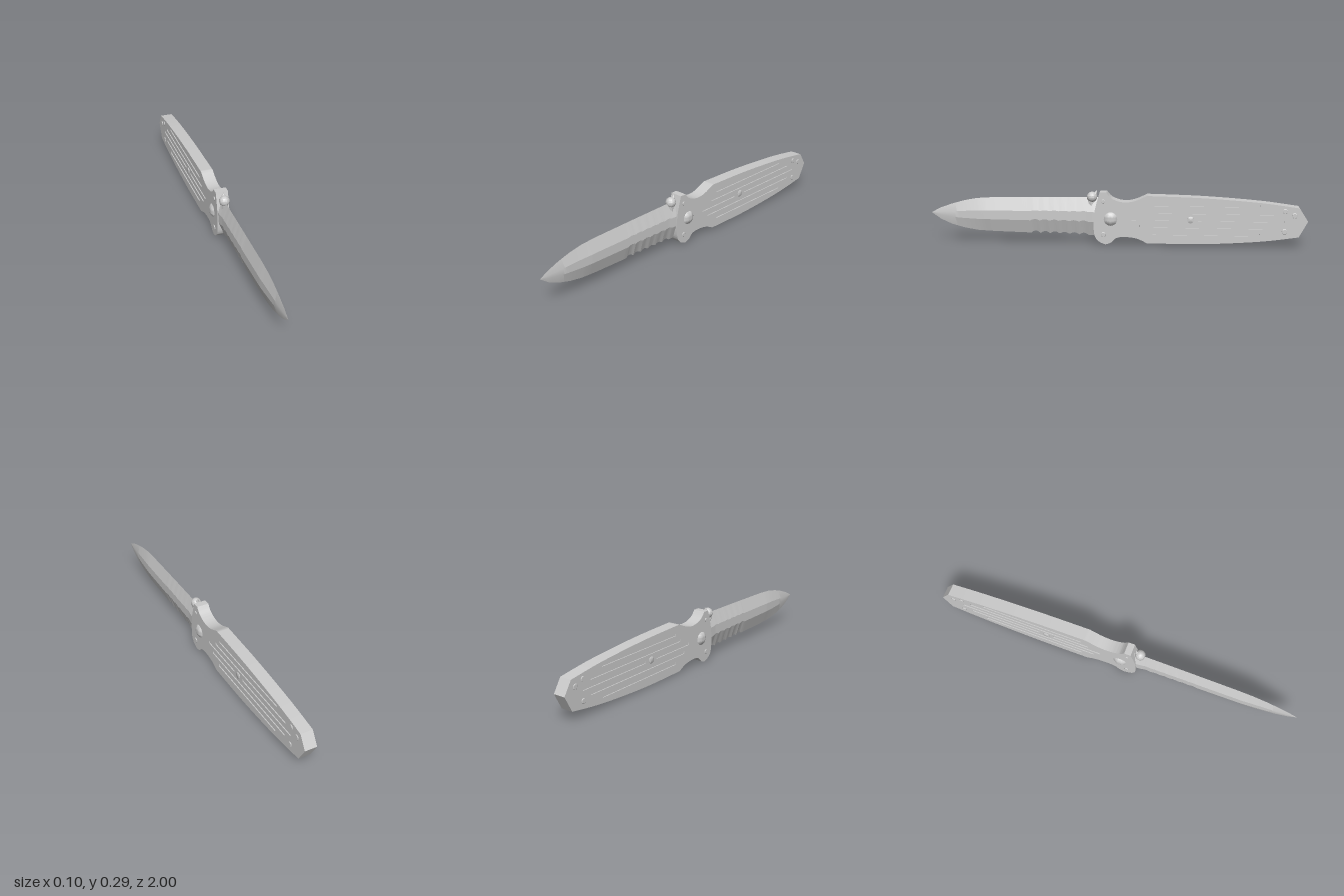
import * as THREE from 'three';
import { toCreasedNormals } from 'three/addons/utils/BufferGeometryUtils.js';

const grey = new THREE.MeshStandardMaterial({ color: 0xcccccc });
const greyFlat = new THREE.MeshStandardMaterial({ color: 0xcccccc, flatShading: true });
const HALF = 0.033; // half thickness of the handle
const GROOVE = 0.005; // depth of the grip grooves

function add(parent, name, geometry, material = grey) {
  const mesh = new THREE.Mesh(geometry, material);
  mesh.name = name;
  parent.add(mesh);
  return mesh;
}

const points = (list) => list.map(([u, v]) => new THREE.Vector2(u, v));

// Handle profile, drawn with u = -z and v = y
function handleShape() {
  const s = new THREE.Shape();
  s.moveTo(-0.09, 0.28);
  s.lineTo(-0.055, 0.28);
  s.splineThru(points([[-0.025, 0.248], [0.03, 0.23], [0.09, 0.235], [0.16, 0.265]]));
  s.splineThru(points([[0.45, 0.257], [0.75, 0.236], [0.955, 0.21]]));
  s.lineTo(1, 0.14);
  s.lineTo(0.955, 0.055);
  s.splineThru(points([[0.75, 0.028], [0.45, 0.01], [0.16, 0.01]]));
  s.splineThru(points([[0.11, 0.033], [0.05, 0.042], [0, 0.036], [-0.03, 0.01], [-0.06, 0]]));
  s.splineThru(points([[-0.1, 0.02], [-0.12, 0.065], [-0.118, 0.17], [-0.09, 0.28]]));
  return s;
}

// Extrude a profile sideways, from x0 to x1
function slab(shape, x0, x1) {
  const g = new THREE.ExtrudeGeometry(shape, { depth: x1 - x0, bevelEnabled: false, curveSegments: 10 });
  g.rotateY(Math.PI / 2).translate(x0, 0, 0);
  return toCreasedNormals(g, 0.5);
}

// Long narrow groove between two u positions
function slot(u0, u1, v, h = 0.007) {
  const p = new THREE.Path();
  p.moveTo(u0, v - h);
  p.lineTo(u1, v - h);
  p.lineTo(u1, v + h);
  p.lineTo(u0, v + h);
  p.closePath();
  return p;
}

// Blade outline height at z, from straight-line interpolation of a few points
function along(table, z) {
  let i = 1;
  while (i < table.length - 1 && table[i][0] < z) i++;
  const [z0, a] = table[i - 1], [z1, b] = table[i];
  return a + (b - a) * (z - z0) / (z1 - z0);
}

function bladeGeometry() {
  const spine = [[0.08, 0.25], [0.16, 0.25], [0.4, 0.247], [0.66, 0.242], [0.75, 0.236], [0.82, 0.223], [0.89, 0.203], [0.95, 0.181], [1, 0.155]];
  const edge = [[0.08, 0.042], [0.16, 0.042], [0.47, 0.051], [0.66, 0.056], [0.75, 0.061], [0.82, 0.073], [0.89, 0.092], [0.95, 0.119], [1, 0.155]];
  const width = [[0.08, 0.03], [0.12, 0.029], [0.17, 0.025], [0.7, 0.022], [0.85, 0.013], [1, 0]];
  const pos = [], index = [], N = 92;
  for (let i = 0; i <= N; i++) {
    const z = 0.08 + 0.92 * i / N;
    const top = along(spine, z), w = along(width, z);
    let low = along(edge, z);
    // scalloped serrations near the handle
    if (z > 0.15 && z < 0.46) low += 0.012 * Math.abs(Math.sin((z - 0.15) * Math.PI / 0.052));
    const mid = (top + low) / 2, flat = (top - low) * 0.13;
    pos.push(0, low, z, w, mid - flat, z, w, mid + flat, z, 0, top, z, -w, mid + flat, z, -w, mid - flat, z);
    if (i === N) break;
    for (let k = 0; k < 6; k++) {
      const a = i * 6 + k, b = i * 6 + (k + 1) % 6;
      index.push(a, b, b + 6, a, b + 6, a + 6);
    }
  }
  const g = new THREE.BufferGeometry();
  g.setAttribute('position', new THREE.Float32BufferAttribute(pos, 3));
  g.setIndex(index);
  return toCreasedNormals(g, 0.25);
}

// Turned part pointing out of the handle side: [radius, height] profile
function turned(profile) {
  return toCreasedNormals(new THREE.LatheGeometry(points(profile), 24).rotateZ(-Math.PI / 2), 0.6);
}

export function createModel() {
  const model = new THREE.Group();
  model.name = 'foldingKnife';

  // Handle core and grooved outer plates
  const handle = new THREE.Group();
  handle.name = 'handle';
  model.add(handle);
  add(handle, 'handleCore', slab(handleShape(), -HALF + GROOVE, HALF - GROOVE));
  const grooved = handleShape();
  grooved.holes.push(
    slot(0.19, 0.75, 0.217, 0.006),
    slot(0.15, 0.83, 0.178),
    slot(0.08, 0.35, 0.14),
    slot(0.43, 0.88, 0.14),
    slot(0.12, 0.83, 0.102),
    slot(0.19, 0.75, 0.063),
  );
  add(handle, 'leftPlate', slab(grooved, HALF - GROOVE, HALF));
  add(handle, 'rightPlate', slab(grooved, -HALF, -HALF + GROOVE));

  // Screws and pivot domes, the same on both sides: y, z, radius
  const screws = [
    [0.233, 0.07, 0.01], [0.053, 0.07, 0.013], [0.14, -0.39, 0.018],
    [0.192, -0.88, 0.013], [0.17, -0.93, 0.014], [0.084, -0.88, 0.014],
  ];
  const dome = turned([[0.036, 0], [0.034, 0.003], [0.026, 0.008], [0.018, 0.0125], [0.009, 0.0145], [0, 0.015]]);
  for (const side of [1, -1]) {
    const fittings = new THREE.Group();
    fittings.name = side > 0 ? 'leftFittings' : 'rightFittings';
    fittings.rotation.y = side > 0 ? 0 : Math.PI;
    model.add(fittings);
    for (const [y, z, r] of screws) {
      const head = turned([[r, -0.006], [r, 0.003], [r * 0.85, 0.0045], [0, 0.0045]]);
      add(fittings, 'screw', head).position.set(HALF, y, z * side);
    }
    add(fittings, 'pivotDome', dome).position.set(HALF, 0.138, 0.032 * side);
  }

  // Blade
  add(model, 'blade', bladeGeometry());

  // Thumb stud: a faceted knob on a short tapered neck
  const stud = new THREE.Group();
  stud.name = 'thumbStud';
  model.add(stud);
  add(stud, 'knob', new THREE.SphereGeometry(0.028, 14, 10), greyFlat).position.set(0, 0.25, 0.132);
  const horn = add(stud, 'horn', new THREE.ConeGeometry(0.02, 0.05, 10), greyFlat);
  horn.position.set(0, 0.266, 0.115);
  horn.rotation.x = -0.35;
  const neckPath = new THREE.CatmullRomCurve3([[0.245, 0.14], [0.2, 0.135], [0.14, 0.122], [0.08, 0.11]]
    .map(([y, z]) => new THREE.Vector3(0, y, z)));
  add(stud, 'neck', new THREE.TubeGeometry(neckPath, 12, 0.017, 8), greyFlat);

  return model;
}
